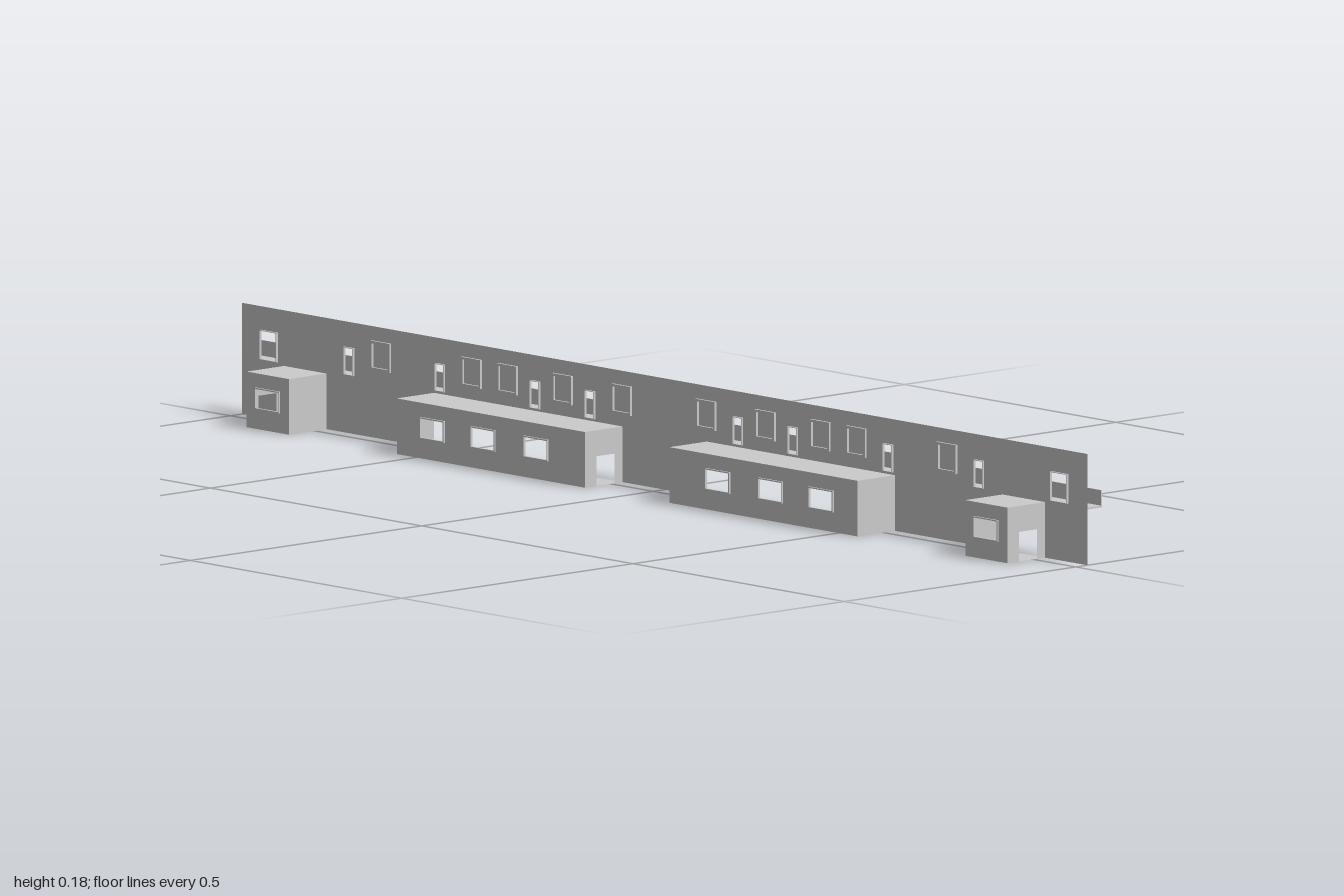
import * as THREE from 'three';

const WALL_X = 0.025, BACK_X = -0.056, ROOM_H = 0.09, WALL_H = 0.18;
const sheetMat = new THREE.MeshStandardMaterial({ color: 0xcccccc, side: THREE.DoubleSide, flatShading: true });
const solidMat = new THREE.MeshStandardMaterial({ color: 0xcccccc, flatShading: true });

const polygon = pts => pts.map(p => new THREE.Vector2(...p));

// Thin sheet with holes; each hole is [centre, bottom, width, top]
function sheet(name, outline, holes = []) {
  const shape = new THREE.Shape(polygon(outline));
  for (const [c, y0, w, y1] of holes) {
    const a = c - w / 2, b = c + w / 2;
    shape.holes.push(new THREE.Path(polygon([[a, y0], [a, y1], [b, y1], [b, y0]])));
  }
  const mesh = new THREE.Mesh(new THREE.ShapeGeometry(shape), sheetMat);
  mesh.name = name;
  return mesh;
}

// Turns a sheet so that it lies along z at the given x
function alongZ(mesh, x) {
  mesh.geometry.rotateY(-Math.PI / 2);
  mesh.position.x = x;
  return mesh;
}

// Solid box from its minimum and maximum corners
function block(name, [x0, y0, z0], [x1, y1, z1]) {
  const mesh = new THREE.Mesh(new THREE.BoxGeometry(x1 - x0, y1 - y0, z1 - z0), solidMat);
  mesh.name = name;
  mesh.position.set((x0 + x1) / 2, (y0 + y1) / 2, (z0 + z1) / 2);
  return mesh;
}

// Four bars around an opening in a wall along z
function frame(name, x0, x1, [c, y0, w, y1], t = 0.003) {
  const g = new THREE.Group(), a = c - w / 2, b = c + w / 2;
  g.name = name;
  g.add(
    block('sill', [x0, y0, a], [x1, y0 + t, b]),
    block('lintel', [x0, y1 - t, a], [x1, y1, b]),
    block('jamb', [x0, y0 + t, a], [x1, y1 - t, a + t]),
    block('jamb', [x0, y0 + t, b - t], [x1, y1 - t, b]));
  return g;
}

// Hollow room behind the wall, open to +x, with a door in one end
function room(z0, z1, doorZ, windowZs) {
  const g = new THREE.Group();
  g.name = 'room';
  const windows = windowZs.map(z => [z, 0.032, 0.058, 0.067]);
  g.add(alongZ(sheet('roomBackWall', [[z0, 0], [z1, 0], [z1, ROOM_H], [z0, ROOM_H]], windows), BACK_X));
  for (const w of windows) g.add(frame('roomWindowFrame', -0.059, BACK_X + 0.001, w, 0.002));
  for (const z of [z0, z1]) {
    const door = z === doorZ ? [[-0.031, 0], [-0.031, 0.048], [0.008, 0.048], [0.008, 0]] : [];
    const end = sheet('roomEndWall', [[BACK_X, 0], ...door, [WALL_X, 0], [WALL_X, ROOM_H], [BACK_X, ROOM_H]]);
    end.position.z = z;
    g.add(end);
  }
  for (const [name, y] of [['roomFloor', 0], ['roomRoof', ROOM_H]]) {
    const slab = new THREE.Mesh(new THREE.PlaneGeometry(WALL_X - BACK_X, z1 - z0).rotateX(-Math.PI / 2), sheetMat);
    slab.name = name;
    slab.position.set((WALL_X + BACK_X) / 2, y, (z0 + z1) / 2);
    g.add(slab);
  }
  return g;
}

export function createModel() {
  const model = new THREE.Group();
  model.name = 'galleryWall';

  // Rooms, mirrored about the middle
  const rooms = [];
  for (const s of [-1, 1]) {
    const span = (a, b) => [Math.min(s * a, s * b), Math.max(s * a, s * b)];
    const small = span(0.8, 0.9), long = span(0.1, 0.545);
    rooms.push(small, long);
    model.add(room(...small, s * 0.9, [s * 0.85]));
    model.add(room(...long, s * 0.1, [0.215, 0.34, 0.46].map(z => s * z)));
  }
  rooms.sort((a, b) => a[0] - b[0]);

  // Openings to the balcony
  const doors = [], blindWindows = [];
  for (const s of [-1, 1]) {
    for (const z of [0.175, 0.305, 0.53, 0.745]) doors.push([s * z, 0.094, 0.022, 0.139]);
    doors.push([s * 0.935, 0.094, 0.04, 0.142]);
    for (const z of [0.1, 0.24, 0.37, 0.455, 0.67]) blindWindows.push([s * z, 0.11, 0.046, 0.157]);
  }

  // Long wall, cut away in front of each room
  const notches = rooms.flatMap(([a, b]) => [[a, 0], [a, ROOM_H], [b, ROOM_H], [b, 0]]);
  model.add(alongZ(sheet('longWall', [[-1, 0], ...notches, [1, 0], [1, WALL_H], [-1, WALL_H]], doors), WALL_X));

  // Door reveals and frames of the closed windows, on the room side
  for (const d of doors) model.add(frame('balconyDoorFrame', 0.021, WALL_X, d, 0.001));
  for (const w of blindWindows) model.add(frame('closedWindowFrame', 0.021, WALL_X, w, 0.004));

  // Balcony with its parapet
  model.add(block('balconyFloor', [WALL_X, 0.09, -1], [0.057, 0.093, 1]));
  model.add(block('balconyParapet', [0.055, 0.093, -1], [0.057, 0.118, 1]));
  return model;
}
